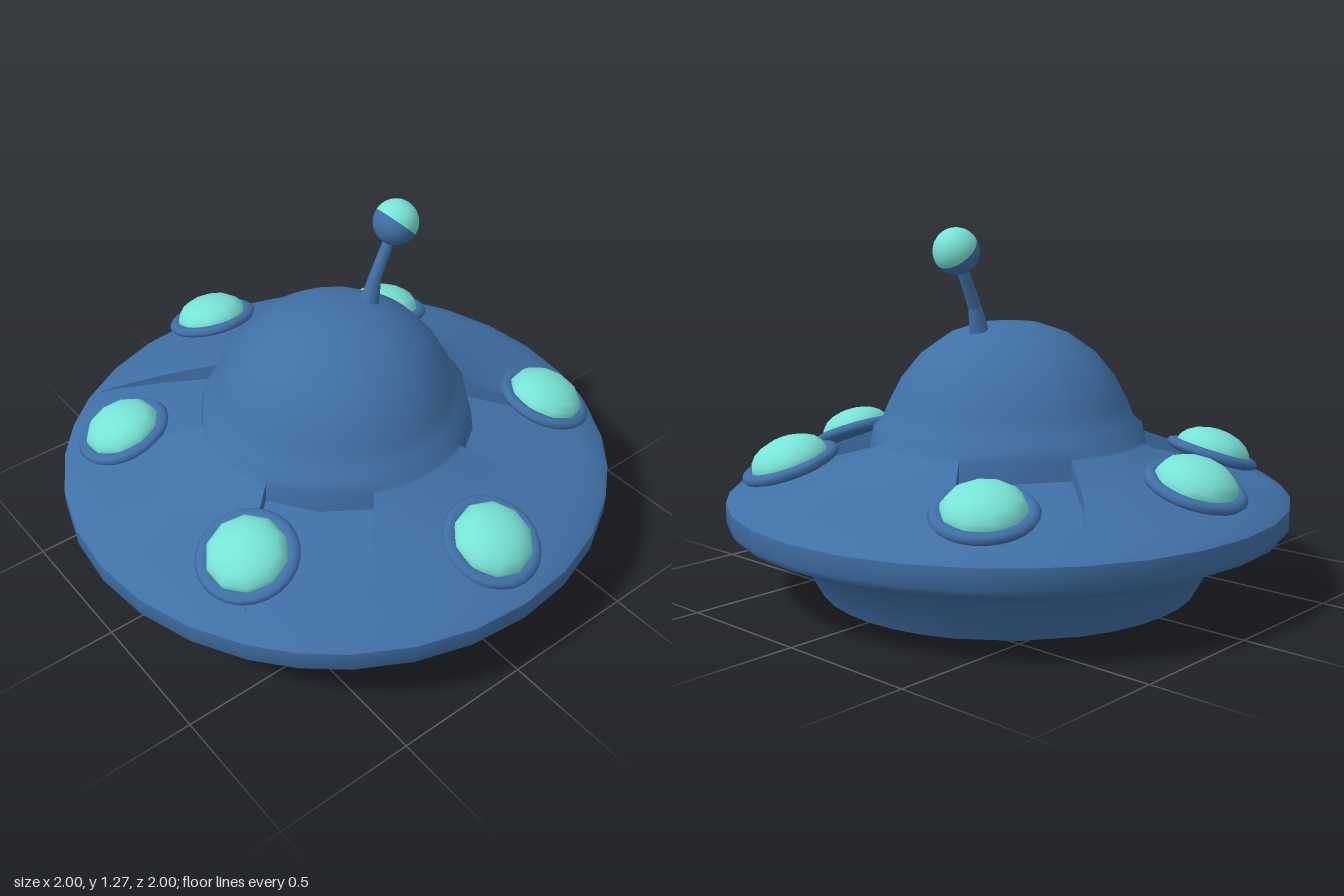
import * as THREE from 'three';
import { toCreasedNormals } from 'three/addons/utils/BufferGeometryUtils.js';

const hull = new THREE.MeshStandardMaterial({ color: 0x4070a6 });
hull.name = 'hull blue';
const glow = new THREE.MeshStandardMaterial({ color: 0x78e4d6 });
glow.name = 'light turquoise';

const rad = THREE.MathUtils.degToRad;

function part(name, geometry, material) {
  const mesh = new THREE.Mesh(geometry, material);
  mesh.name = name;
  return mesh;
}

// Saucer and dome: [radius, height, depth of the four diagonal grooves]
function saucerGeometry() {
  const profile = [
    [0, 0, 0], [0.68, 0, 0], [0.76, 0.145, 0], [0.93, 0.215, 0], [0.985, 0.24, 0],
    [1, 0.262, 0], [1, 0.33, 0], [0.975, 0.35, 0], [0.9, 0.38, 0.01], [0.7, 0.45, 0.04],
    [0.5, 0.527, 0.065], [0.49, 0.535, 0], [0.48, 0.575, 0], [0.45, 0.6, 0], [0.425, 0.66, 0],
    [0.38, 0.745, 0], [0.31, 0.83, 0], [0.21, 0.9, 0], [0.11, 0.933, 0], [0, 0.937, 0],
  ];
  // Each quarter holds a wide panel followed by a narrow groove
  const columns = [];
  for (let q = 0; q < 4; q++) {
    for (let i = 0; i <= 6; i++) columns.push({ mid: q * 90, t: i / 3 - 1, groove: false });
    for (let i = 0; i <= 2; i++) columns.push({ mid: q * 90 + 45, t: i - 1, groove: true });
  }
  const positions = [], index = [], rows = profile.length;
  for (const c of columns) {
    for (const [r, y, depth] of profile) {
      const k = THREE.MathUtils.clamp((r - 0.48) / 0.52, 0, 1);
      const grooveHalf = THREE.MathUtils.lerp(22, 9.5, k);
      const a = rad(c.mid + c.t * (c.groove ? grooveHalf : 45 - grooveHalf));
      positions.push(r * Math.cos(a), y - (c.groove ? depth : 0), r * Math.sin(a));
    }
  }
  for (let i = 0; i < columns.length; i++) {
    const a = i * rows, b = ((i + 1) % columns.length) * rows;
    for (let j = 0; j < rows - 1; j++) {
      if (j > 0) index.push(a + j, a + j + 1, b + j);
      if (j < rows - 2 || j === 0) index.push(b + j, a + j + 1, b + j + 1);
    }
  }
  const g = new THREE.BufferGeometry();
  g.setAttribute('position', new THREE.Float32BufferAttribute(positions, 3));
  g.setIndex(index);
  return toCreasedNormals(g, 0.75);
}

// Tapered rod between two points
function rod(name, from, to, r0, r1) {
  const dir = to.clone().sub(from);
  const mesh = part(name, new THREE.CylinderGeometry(r1, r0, dir.length(), 10), hull);
  mesh.position.copy(from).add(to).multiplyScalar(0.5);
  mesh.quaternion.setFromUnitVectors(new THREE.Vector3(0, 1, 0), dir.normalize());
  return mesh;
}

function createAntenna() {
  const antenna = new THREE.Group();
  antenna.name = 'antenna';
  const foot = new THREE.Vector3(0, 0.9, -0.148);
  const bend = new THREE.Vector3(0, 1.0, -0.172);
  const tip = new THREE.Vector3(0, 1.195, -0.262);
  antenna.add(rod('antennaFoot', foot, bend, 0.037, 0.023));
  antenna.add(rod('antennaStem', bend, tip, 0.023, 0.018));
  // Ball with a lit half facing up and back
  const ball = new THREE.Group();
  ball.name = 'antennaBall';
  ball.add(part('ballLight', new THREE.SphereGeometry(0.08, 20, 8, 0, Math.PI * 2, 0, Math.PI / 2), glow));
  ball.add(part('ballSocket', new THREE.SphereGeometry(0.08, 20, 8, 0, Math.PI * 2, Math.PI / 2, Math.PI / 2), hull));
  ball.position.copy(tip);
  ball.rotation.x = -Math.PI / 4;
  antenna.add(ball);
  return antenna;
}

// Round lamp in a ring, tilted outward from the centre
const ringProfile = [[0, -0.022], [0.145, -0.022], [0.165, -0.014], [0.174, 0], [0.165, 0.014], [0.148, 0.02], [0.13, 0.012]]
  .map(([x, y]) => new THREE.Vector2(x, y));
const ringGeometry = new THREE.LatheGeometry(ringProfile, 24);
const lampGeometry = new THREE.SphereGeometry(0.14, 10, 5, 0, Math.PI * 2, 0, Math.PI / 2);
lampGeometry.scale(1, 0.6, 1);

function createLight(x, y, z, tilt) {
  const light = new THREE.Group();
  light.name = 'rimLight';
  const lamp = part('lamp', lampGeometry, glow);
  lamp.position.y = 0.008;
  light.add(part('lampRing', ringGeometry, hull), lamp);
  light.position.set(x, y, z);
  const axis = new THREE.Vector3(z, 0, -x).normalize();
  light.quaternion.setFromAxisAngle(axis, rad(tilt));
  return light;
}

export function createModel() {
  const model = new THREE.Group();
  model.name = 'flyingSaucer';
  model.add(part('saucerBody', saucerGeometry(), hull));
  model.add(createAntenna());
  const lights = [
    [0.805, 0.447, -0.02, 22], [0.385, 0.477, 0.665, 19], [-0.45, 0.432, 0.63, 17],
    [-0.805, 0.465, 0, 18], [-0.465, 0.435, -0.62, 16], [0.4, 0.475, -0.67, 18],
  ];
  for (const l of lights) model.add(createLight(...l));
  return model;
}
